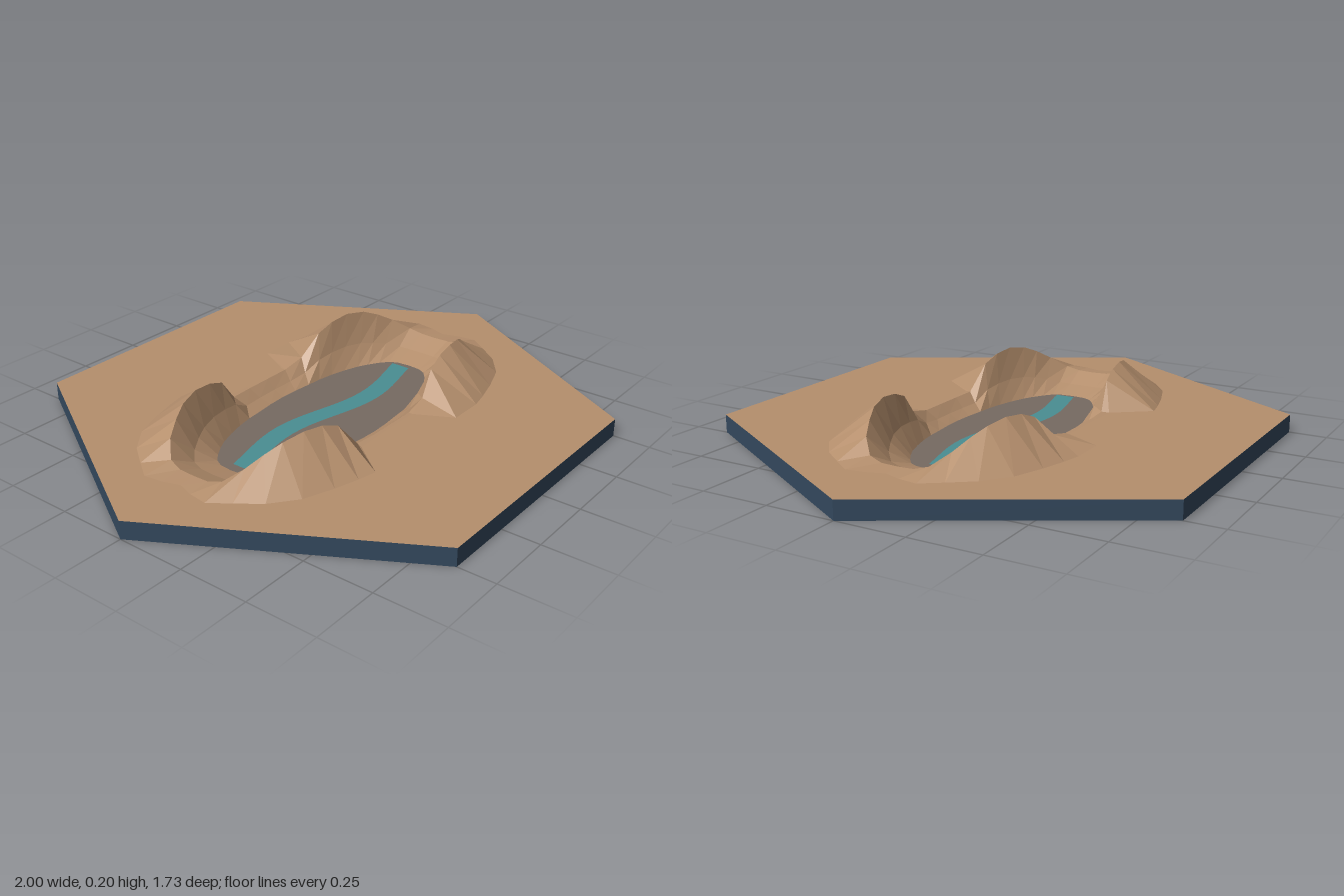
import * as THREE from 'three';

const TOP = 0.065, FLOOR = 0.012;

// One quarter of the canyon rim: crest x, z, height | outer foot x, z | floor edge x, z
const QUARTER = [
  [0.68, 0, 0.07, 0.74, 0, 0.51, 0],
  [0.68, 0.06, 0.072, 0.76, 0.06, 0.505, 0.05],
  [0.67, 0.11, 0.085, 0.77, 0.13, 0.49, 0.08],
  [0.62, 0.16, 0.125, 0.72, 0.20, 0.46, 0.105],
  [0.56, 0.19, 0.16, 0.66, 0.28, 0.42, 0.13],
  [0.50, 0.215, 0.185, 0.57, 0.35, 0.38, 0.15],
  [0.42, 0.235, 0.197, 0.46, 0.39, 0.32, 0.17],
  [0.34, 0.245, 0.188, 0.37, 0.415, 0.26, 0.185],
  [0.27, 0.255, 0.162, 0.30, 0.43, 0.20, 0.195],
  [0.19, 0.275, 0.068, 0.20, 0.30, 0.14, 0.20],
  [0.10, 0.28, 0.066, 0.10, 0.295, 0.07, 0.207],
  [0, 0.28, 0.066, 0, 0.295, 0, 0.21],
];

// Mirrors the quarter into a full loop; each station holds foot, crest, terrace and floor points
function rimStations() {
  const stations = [];
  for (const [sx, sz] of [[1, 1], [-1, 1], [-1, -1], [1, -1]]) {
    let rows = QUARTER.map((row, i) => {
      let [cx, cz, h, fx, fz, ix, iz] = row;
      if (sx > 0 && i === 9) { h = 0.085; fx = 0.17; fz = 0.43; } // gentler ramp on the left humps
      const p = (x, y, z) => new THREE.Vector3(sx * x, y, sz * z);
      const crest = p(cx, h, cz), edge = p(ix, FLOOR, iz);
      const terrace = crest.clone().lerp(edge, 0.5);
      terrace.y = THREE.MathUtils.lerp(h, FLOOR, 0.6);
      return [p(fx, TOP, fz), crest, terrace, edge];
    });
    if (sx * sz < 0) rows.reverse();
    stations.push(...rows.slice(0, -1));
  }
  return stations;
}

// Faceted surface between successive rings of the loop
function loftRings(stations) {
  const pos = [], n = stations.length;
  const add = (...pts) => pts.forEach((p) => pos.push(p.x, p.y, p.z));
  for (let i = 0; i < n; i++) {
    const a = stations[i], b = stations[(i + 1) % n];
    for (let k = 0; k < 3; k++) {
      add(a[k], a[k + 1], b[k]);
      add(b[k], a[k + 1], b[k + 1]);
    }
  }
  const geo = new THREE.BufferGeometry();
  geo.setAttribute('position', new THREE.Float32BufferAttribute(pos, 3));
  geo.computeVertexNormals();
  return geo;
}

export function createModel() {
  const group = new THREE.Group();
  const material = (name, color, opts = {}) => {
    const m = new THREE.MeshStandardMaterial({ color, ...opts });
    m.name = name;
    return m;
  };
  const sand = material('sandstone', 0xb58f6d, { flatShading: true });
  const rock = material('canyonFloorGrey', 0x766a62);
  const teal = material('riverTeal', 0x4a8e93);
  const navy = material('baseNavy', 0x34495e, { flatShading: true });
  const addMesh = (name, geo, mat, y = 0) => {
    const mesh = new THREE.Mesh(geo, mat);
    mesh.name = name;
    mesh.position.y = y;
    group.add(mesh);
  };
  const flat = (shape) => new THREE.ShapeGeometry(shape).rotateX(-Math.PI / 2);
  const outline = (pts) => pts.map((p) => new THREE.Vector2(p.x, -p.z));

  // Hexagonal base: side wall and underside
  addMesh('baseSides', new THREE.CylinderGeometry(1, 1, TOP, 6, 1, true, Math.PI / 2), navy, TOP / 2);
  addMesh('baseUnderside', new THREE.CircleGeometry(1, 6).rotateX(Math.PI / 2), navy);

  // Ground with an opening for the canyon
  const stations = rimStations();
  const hex = [];
  for (let i = 0; i < 6; i++) {
    hex.push(new THREE.Vector2(Math.cos(i * Math.PI / 3), Math.sin(i * Math.PI / 3)));
  }
  const ground = new THREE.Shape(hex);
  ground.holes.push(new THREE.Path(outline(stations.map((s) => s[0]))));
  addMesh('ground', flat(ground), sand, TOP);

  // Four humps and the inner canyon walls
  addMesh('canyonRim', loftRings(stations), sand);

  // Sunken floor
  addMesh('canyonFloor', flat(new THREE.Shape(outline(stations.map((s) => s[3])))), rock, FLOOR);

  // Winding river
  const near = [], far = [];
  for (let i = 0; i <= 24; i++) {
    const x = -0.48 + 0.04 * i, z = 0.033 * Math.sin(x * Math.PI / 0.4);
    near.push(new THREE.Vector3(x, 0, z + 0.037));
    far.unshift(new THREE.Vector3(x, 0, z - 0.037));
  }
  addMesh('river', flat(new THREE.Shape(outline([...near, ...far]))), teal, FLOOR + 0.005);

  return group;
}
